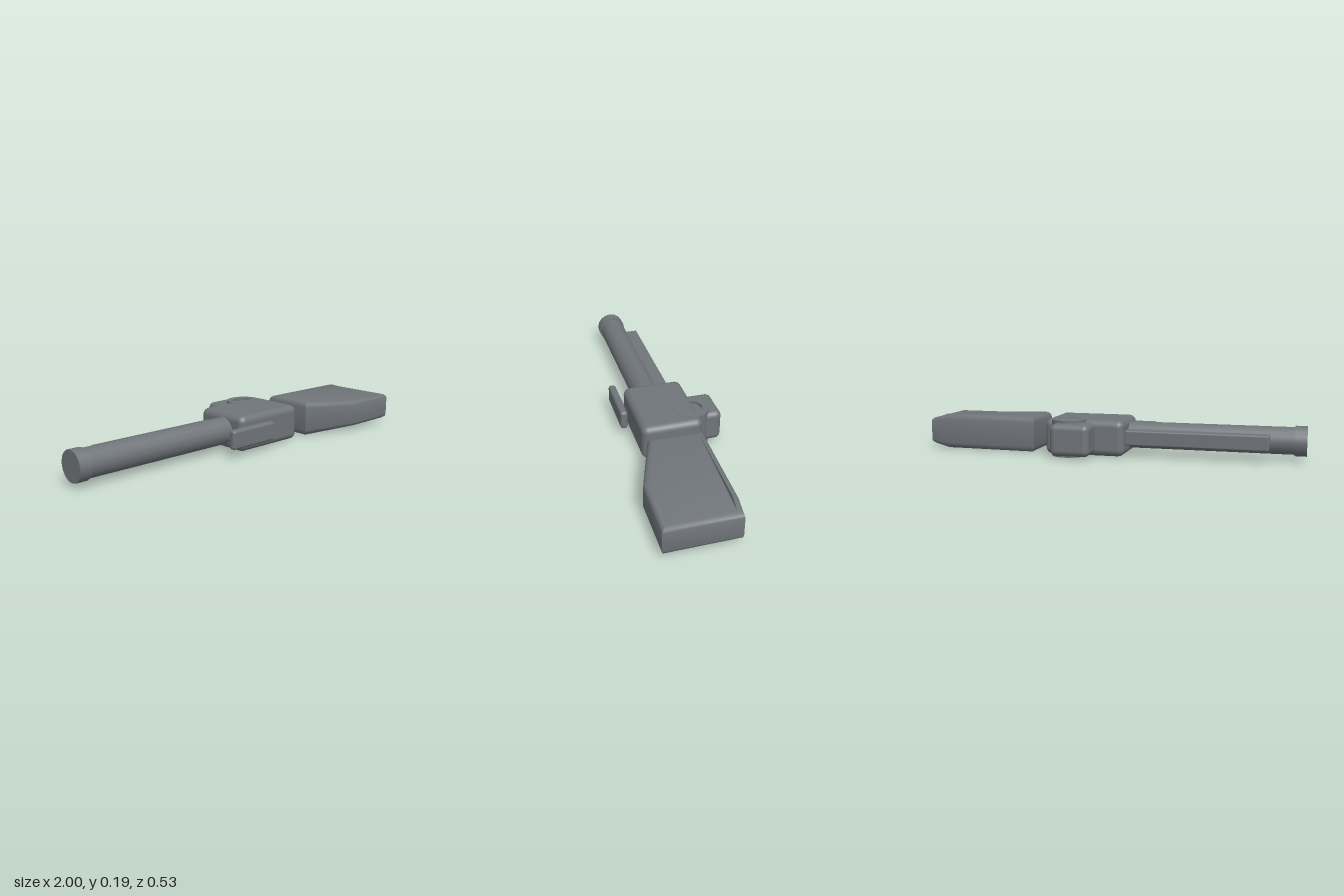
import * as THREE from 'three';
import { toCreasedNormals } from 'three/addons/utils/BufferGeometryUtils.js';
import { RoundedBoxGeometry } from 'three/addons/geometries/RoundedBoxGeometry.js';

const MID = 0.0975; // height of the symmetry plane

export function createModel() {
  const group = new THREE.Group();
  const grey = new THREE.MeshStandardMaterial({ color: 0x70757a });
  grey.name = 'steel grey';

  const add = (name, geometry) => {
    const mesh = new THREE.Mesh(geometry, grey);
    mesh.name = name;
    group.add(mesh);
    return mesh;
  };

  // Rounded block given by its limits on each axis
  const block = (name, [x0, x1], [y0, y1], [z0, z1], r) =>
    add(name, new RoundedBoxGeometry(x1 - x0, y1 - y0, z1 - z0, 3, r))
      .position.set((x0 + x1) / 2, (y0 + y1) / 2, (z0 + z1) / 2);

  // Cylinder lying along x
  const rod = (name, x0, x1, radius) => {
    const g = new THREE.CylinderGeometry(radius, radius, x1 - x0, 16);
    g.rotateZ(Math.PI / 2);
    g.translate((x0 + x1) / 2, 0.1, 0.028);
    return add(name, g);
  };

  // Plan outline (x, z) extruded upward around the middle height
  const slab = (shape, height, bevel, segments) => {
    const g = new THREE.ExtrudeGeometry(shape, {
      depth: height - 2 * bevel, curveSegments: 12,
      bevelEnabled: bevel > 0, bevelSize: bevel, bevelThickness: bevel, bevelSegments: segments,
    });
    g.translate(0, 0, bevel - height / 2);
    g.rotateX(Math.PI / 2);
    g.translate(0, MID, 0);
    return g;
  };

  // Barrel, its end collar and the flat rail beside it
  rod('barrel', -0.97, -0.06, 0.07);
  rod('endCollar', -1, -0.94, 0.077);
  block('rail', [-0.82, -0.06], [0.06, 0.137], [-0.097, 0], 0.008);

  // Central body, rear block and detached side plate
  block('body', [-0.1, 0.32], [0.005, 0.191], [-0.147, 0.165], 0.035);
  block('rearBlock', [0.05, 0.256], [0.016, 0.179], [-0.265, -0.1], 0.03);
  block('sidePlate', [-0.205, 0.085], [0.05, 0.15], [0.18, 0.219], 0.015);

  // Upright ring through the rear corner of the body
  const ringShape = new THREE.Shape().absarc(0.19, -0.117, 0.094, 0, Math.PI * 2);
  ringShape.holes.push(new THREE.Path().absarc(0.19, -0.117, 0.06, 0, Math.PI * 2, true));
  add('ring', toCreasedNormals(slab(ringShape, 0.189, 0, 0), 0.7));

  // Separate end block: slanted outline, thinner along its far and front edges
  const outline = [[0.42, -0.085], [0.9, -0.075], [0.965, -0.07], [0.965, 0.235], [0.7, 0.235], [0.42, 0.14]];
  const endShape = new THREE.Shape(outline.map(([x, z]) => new THREE.Vector2(x, z)));
  const end = slab(endShape, 0.188, 0.03, 3);
  const p = end.attributes.position;
  for (let i = 0; i < p.count; i++) {
    if (p.getX(i) > 0.95 || p.getZ(i) > 0.2) p.setY(i, MID + (p.getY(i) - MID) * 0.78);
  }
  add('endBlock', toCreasedNormals(end, 0.7));

  return group;
}
